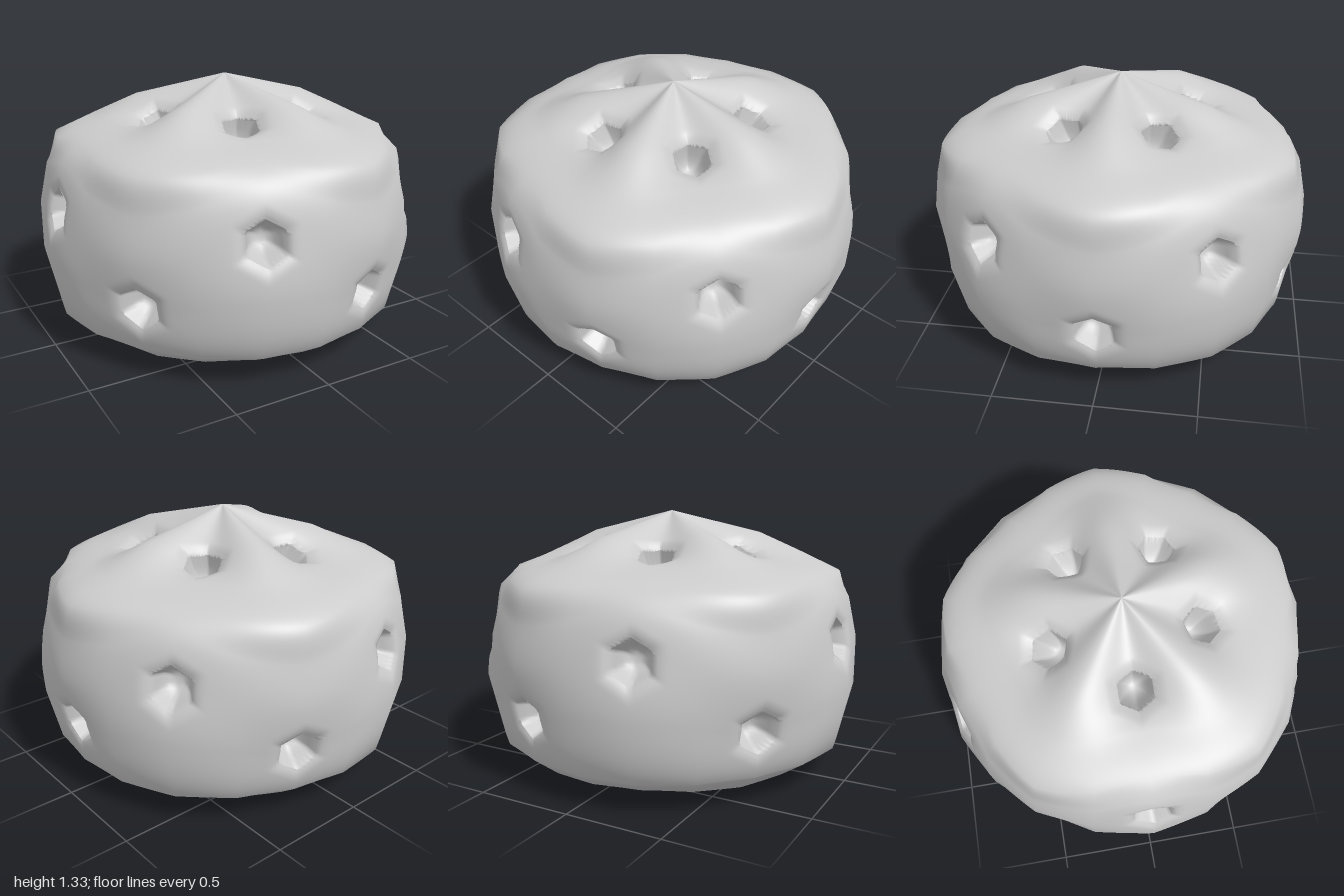
import * as THREE from 'three';

const V = (x, y) => new THREE.Vector3(x, y, 0);
const toPts = (list) => list.map(([x, y]) => V(x, y));

// Half outlines (radius, height): along the crown ridges and along the valleys
const ridge = toPts([[0, 1.33], [0.24, 1.27], [0.48, 1.21], [0.7, 1.11], [0.93, 1.0], [0.97, 0.84],
  [1, 0.64], [0.97, 0.4], [0.91, 0.16], [0.78, 0.06], [0.56, 0.015], [0, 0]]);
const valley = toPts([[0, 1.33], [0.25, 1.2], [0.4, 1.12], [0.6, 1.1], [0.82, 1.04], [0.91, 0.95],
  [0.97, 0.73], [1, 0.47], [0.93, 0.16], [0.78, 0.07], [0.48, 0.015], [0, 0]]);
const ridgeCurve = new THREE.CatmullRomCurve3(ridge);
const valleyCurve = new THREE.CatmullRomCurve3(valley);

const STEP = 20;
const ROWS = (ridge.length - 1) * STEP;
const COLS = 300;
const FACET = Math.PI / 10;

// Three rings of five hexagonal pits
const pits = [];
for (const ring of [
  { r: 0.4, y: 1.12, start: 36, axis: [0.42, 0.9], size: 0.085, depth: 0.12 },
  { r: 0.97, y: 0.73, start: 36, axis: [1, 0.1], size: 0.095, depth: 0.13 },
  { r: 0.965, y: 0.38, start: 0, axis: [1, -0.1], size: 0.095, depth: 0.13 },
]) {
  for (let k = 0; k < 5; k++) {
    const a = THREE.MathUtils.degToRad(ring.start + 72 * k);
    const c = Math.cos(a), s = Math.sin(a);
    const n = new THREE.Vector3(ring.axis[0] * c, ring.axis[1], ring.axis[0] * s).normalize();
    const u = new THREE.Vector3(-s, 0, c);
    pits.push({ center: new THREE.Vector3(ring.r * c, ring.y, ring.r * s), n, u,
      v: new THREE.Vector3().crossVectors(n, u), size: ring.size, depth: ring.depth });
  }
}

// Pull vertices onto each hexagonal rim and push the inside in
function dent(p) {
  for (const { center, n, u, v, size, depth } of pits) {
    const q = p.clone().sub(center);
    if (q.length() > 0.35) continue;
    const x = q.dot(u), y = q.dot(v);
    let h = Math.max(Math.abs(x), Math.abs(x * 0.5 + y * 0.866), Math.abs(x * 0.5 - y * 0.866)) / size;
    if (h > 1.7) continue;
    if (h > 0.88 && h < 1.12) {
      p.addScaledVector(u, x * (1 / h - 1)).addScaledVector(v, y * (1 / h - 1));
      h = 1;
    }
    const lip = 0.02 * Math.pow((1.7 - Math.max(h, 1)) / 0.7, 2);
    const inside = h < 1 ? depth * (1 - Math.pow(h, 3)) : 0;
    p.addScaledVector(n, -lip - inside);
  }
  return p;
}

function pointOn(points, curve, i, smooth) {
  if (smooth) return curve.getPoint(i / ROWS);
  const k = Math.min(Math.floor(i / STEP), points.length - 2);
  return points[k].clone().lerp(points[k + 1], i / STEP - k);
}

function buildShell(smooth) {
  const pos = [], index = [];
  for (let i = 0; i <= ROWS; i++) {
    const A = pointOn(ridge, ridgeCurve, i, smooth);
    const B = pointOn(valley, valleyCurve, i, smooth);
    for (let j = 0; j < COLS; j++) {
      const a = (j / COLS) * Math.PI * 2;
      const P = A.clone().lerp(B, 0.5 - 0.5 * Math.cos(5 * a));
      // twenty straight chords around the girth
      const chord = smooth ? 1 : Math.cos(FACET / 2) / Math.cos((a % FACET) - FACET / 2);
      const p = dent(new THREE.Vector3(P.x * Math.cos(a) * chord, P.y, P.x * Math.sin(a) * chord));
      pos.push(p.x, p.y, p.z);
      if (i === ROWS) continue;
      const j2 = (j + 1) % COLS;
      const a0 = i * COLS + j, a1 = i * COLS + j2, b0 = a0 + COLS, b1 = a1 + COLS;
      if (i > 0) index.push(a0, a1, b0);
      if (i < ROWS - 1) index.push(a1, b1, b0);
    }
  }
  const g = new THREE.BufferGeometry();
  g.setAttribute('position', new THREE.Float32BufferAttribute(pos, 3));
  g.setIndex(index);
  g.computeVertexNormals();
  const nor = g.attributes.normal;
  for (let j = 0; j < COLS; j++) {
    nor.setXYZ(j, 0, 1, 0);
    nor.setXYZ(ROWS * COLS + j, 0, -1, 0);
  }
  return g;
}

export function createModel() {
  const group = new THREE.Group();
  group.name = 'pittedDome';
  // Slightly faceted outline, shaded with the normals of the rounded form
  const geometry = buildShell(false);
  geometry.setAttribute('normal', buildShell(true).attributes.normal);
  const body = new THREE.Mesh(geometry, new THREE.MeshStandardMaterial({ color: 0xcccccc }));
  body.name = 'pittedBody';
  group.add(body);
  return group;
}
